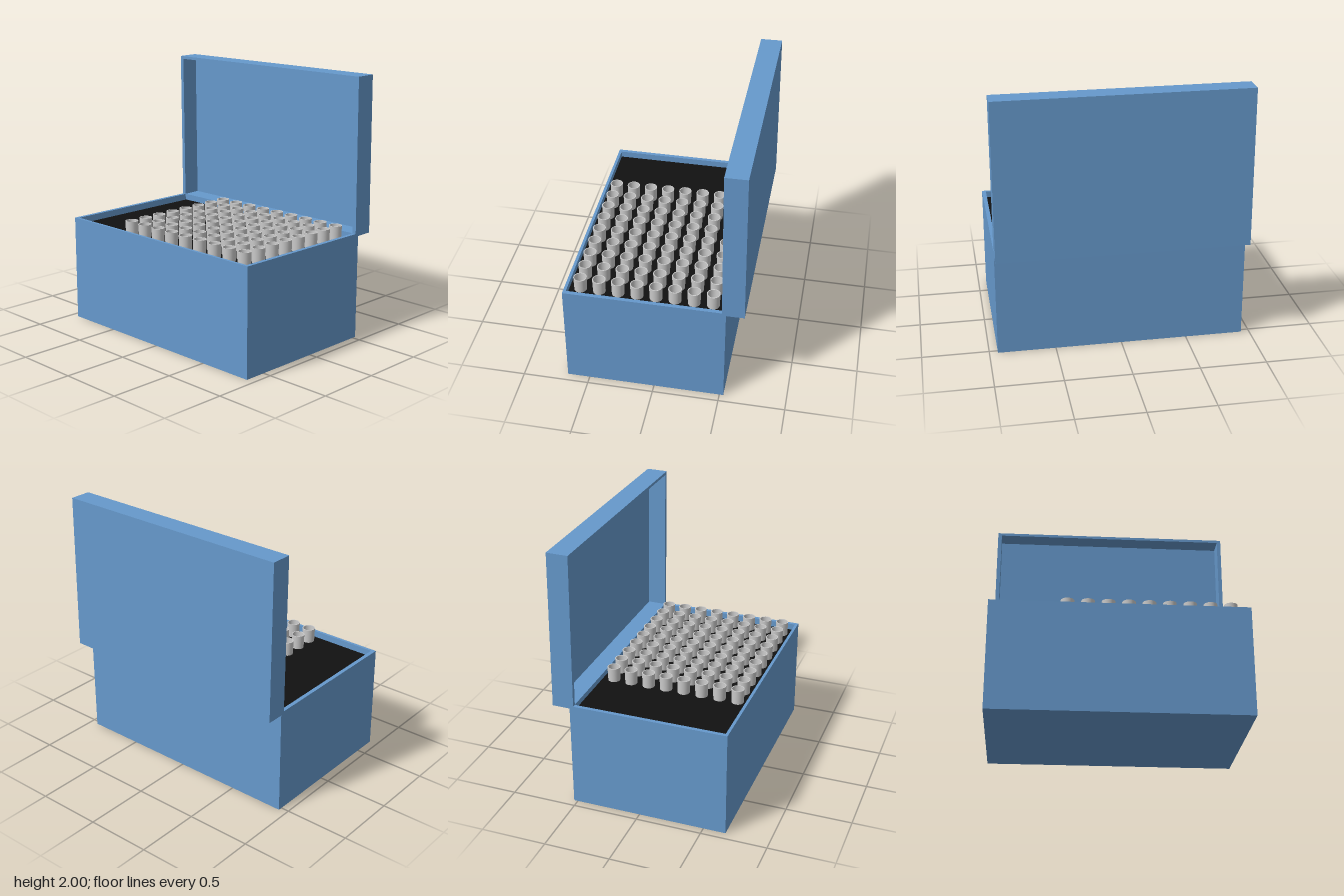
import * as THREE from 'three';

const blue = new THREE.MeshStandardMaterial({ color: 0x6699cc });
const black = new THREE.MeshStandardMaterial({ color: 0x111111 });
const grey = new THREE.MeshStandardMaterial({ color: 0xcccccc });

function rect(path, w, d) {
  path.moveTo(-w / 2, -d / 2);
  path.lineTo(w / 2, -d / 2);
  path.lineTo(w / 2, d / 2);
  path.lineTo(-w / 2, d / 2);
  path.closePath();
  return path;
}

// Open-topped box standing on y = 0: a rectangular wall ring plus a base panel
function openBox(name, w, h, d, tx, tz, base) {
  const group = new THREE.Group();
  group.name = name;
  const ring = rect(new THREE.Shape(), w, d);
  ring.holes.push(rect(new THREE.Path(), w - 2 * tx, d - 2 * tz));
  const wallGeo = new THREE.ExtrudeGeometry(ring, { depth: h, bevelEnabled: false });
  wallGeo.rotateX(-Math.PI / 2);
  const walls = new THREE.Mesh(wallGeo, blue);
  walls.name = name + 'Walls';
  const panel = new THREE.Mesh(new THREE.BoxGeometry(w - 2 * tx, base, d - 2 * tz), blue);
  panel.name = name + 'Panel';
  panel.position.y = base / 2;
  group.add(walls, panel);
  return group;
}

export function createModel() {
  const model = new THREE.Group();
  model.name = 'tubeBox';

  // Lower box
  const box = openBox('box', 1.2, 0.82, 1.874, 0.022, 0.03, 0.02);
  box.position.x = -0.07;
  model.add(box);

  // Black rack plate set just below the rim
  const plate = new THREE.Mesh(new THREE.BoxGeometry(1.156, 0.04, 1.814), black);
  plate.name = 'rackPlate';
  plate.position.set(-0.07, 0.75, 0);
  model.add(plate);

  // Open lid: an open box on its side, leaning slightly over the rack
  const lid = openBox('lid', 1.2, 0.163, 1.874, 0.022, 0.03, 0.02);
  lid.rotation.z = Math.PI / 2;
  lid.position.set(0.163, 0.6, 0);
  const hinge = new THREE.Group();
  hinge.name = 'lidHinge';
  hinge.position.set(0.501, 0.799, 0);
  hinge.rotation.z = 0.0125;
  hinge.add(lid);
  model.add(hinge);

  // Hollow tubes with a slight flare, in 8 columns and 9 rows
  const profile = [[0.039, 0], [0.046, 0], [0.0495, 0.115], [0.0425, 0.115], [0.039, 0]]
    .map(([r, y]) => new THREE.Vector2(r, y));
  // each profile segment is its own lathe so the rim edges stay crisp
  const parts = profile.slice(1).map((p, i) => new THREE.LatheGeometry([profile[i], p], 24));
  const tubes = new THREE.Group();
  tubes.name = 'tubes';
  for (let row = 0; row < 9; row++) {
    for (let col = 0; col < 8; col++) {
      const tube = new THREE.Group();
      tube.name = 'tube';
      for (const geo of parts) {
        const m = new THREE.Mesh(geo, grey);
        m.name = 'tubeWall';
        tube.add(m);
      }
      tube.position.set(-0.565 + col * 0.1407, 0.765, -0.375 + row * 0.1477);
      tubes.add(tube);
    }
  }
  model.add(tubes);
  return model;
}
